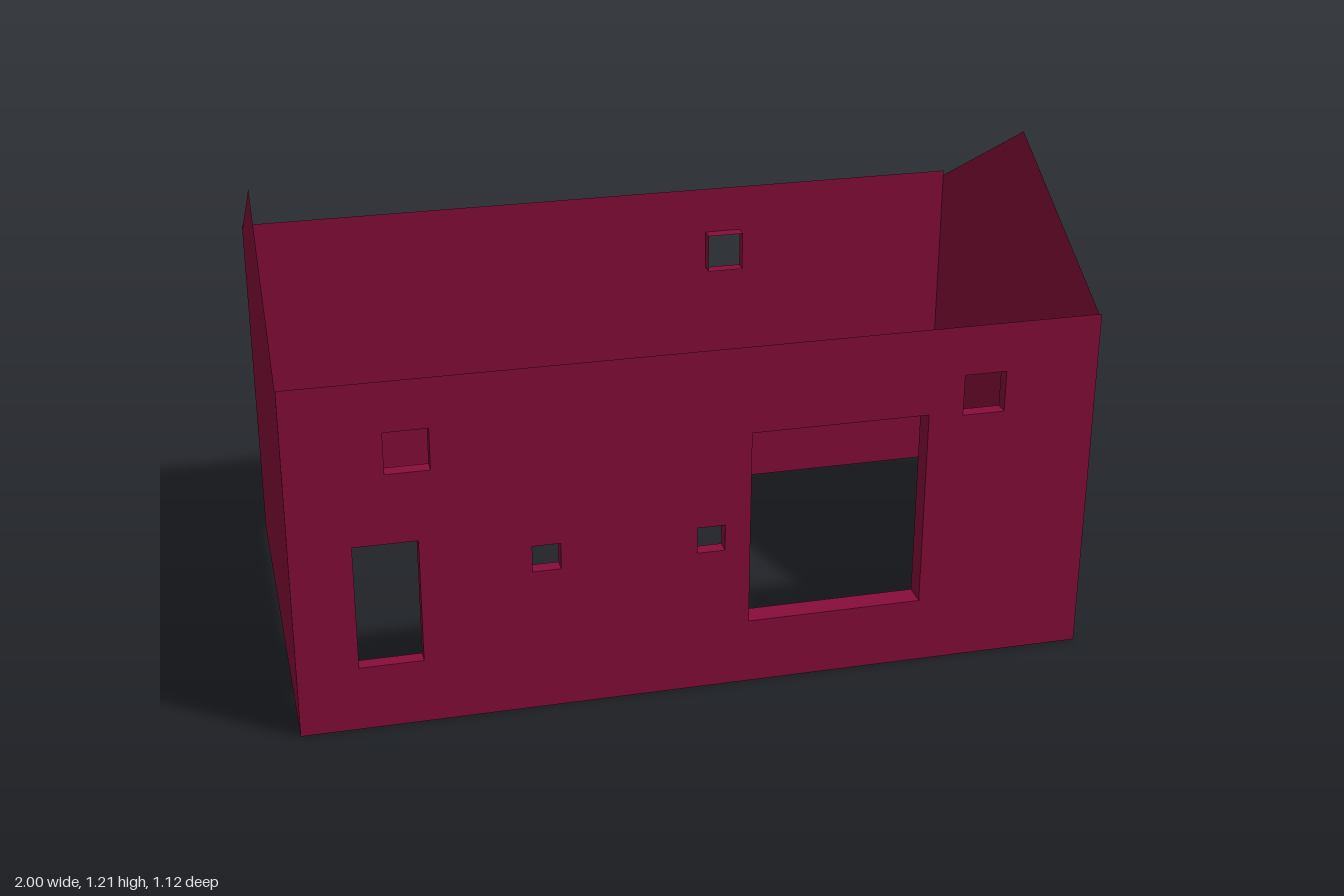
import * as THREE from 'three';

const HALF_W = 1, HALF_D = 0.558;
const WALL_H = 0.916, EAVE_H = 0.902, RIDGE_H = 1.207;

// Openings: [name, x0, x1, y0, y1, reveal depth]
const FRONT = [
  ['upperWindowRight', -0.765, -0.657, 0.68, 0.787, 0.036],
  ['upperWindowLeft', 0.655, 0.762, 0.68, 0.787, 0.036],
  ['door', -0.85, -0.693, 0.171, 0.498, 0.036],
  ['smallWindowRight', -0.422, -0.352, 0.38, 0.449, 0.036],
  ['smallWindowLeft', -0.014, 0.056, 0.38, 0.449, 0.036],
  ['largeOpening', 0.12, 0.567, 0.172, 0.69, 0.06],
];
const BACK = [['backWindow', 0.293, 0.393, 0.68, 0.787, 0.036]];

const corners = (x0, x1, y0, y1) =>
  [[x0, y0], [x1, y0], [x1, y1], [x0, y1]].map(([x, y]) => new THREE.Vector2(x, y));

export function createModel() {
  const model = new THREE.Group();
  model.name = 'house';
  const crimson = new THREE.MeshStandardMaterial({ color: 0x880d3a, side: THREE.DoubleSide });
  crimson.name = 'crimson';

  const add = (parent, name, geometry) => {
    const mesh = new THREE.Mesh(geometry, crimson);
    mesh.name = name;
    parent.add(mesh);
    return mesh;
  };

  // Four thin faces lining an opening, running inward from the wall
  function addReveal(parent, [name, x0, x1, y0, y1, depth], z, inward) {
    const reveal = new THREE.Group();
    reveal.name = name + 'Reveal';
    const w = x1 - x0, h = y1 - y0, cx = (x0 + x1) / 2, cy = (y0 + y1) / 2;
    const cz = z + inward * depth / 2;
    for (const s of [-1, 1]) {
      const jamb = add(reveal, s < 0 ? 'rightJamb' : 'leftJamb', new THREE.PlaneGeometry(depth, h));
      jamb.rotation.y = -s * Math.PI / 2;
      jamb.position.set(cx + s * w / 2, cy, cz);
      const sill = add(reveal, s < 0 ? 'sill' : 'lintel', new THREE.PlaneGeometry(w, depth));
      sill.rotation.x = s * Math.PI / 2;
      sill.position.set(cx, cy + s * h / 2, cz);
    }
    parent.add(reveal);
  }

  // Long wall sheet with its openings
  function addLongWall(name, side, openings) {
    const wall = new THREE.Group();
    wall.name = name;
    const shape = new THREE.Shape(corners(-HALF_W, HALF_W, 0, WALL_H));
    for (const [, x0, x1, y0, y1] of openings) {
      shape.holes.push(new THREE.Path(corners(x0, x1, y0, y1).reverse()));
    }
    add(wall, name + 'Sheet', new THREE.ShapeGeometry(shape)).position.z = side * HALF_D;
    openings.forEach((o) => addReveal(wall, o, side * HALF_D, -side));
    model.add(wall);
  }
  addLongWall('frontWall', 1, FRONT);
  addLongWall('backWall', -1, BACK);

  // Gable end walls
  const gable = new THREE.Shape([
    [-HALF_D, 0], [HALF_D, 0], [HALF_D, EAVE_H], [0, RIDGE_H], [-HALF_D, EAVE_H],
  ].map(([x, y]) => new THREE.Vector2(x, y)));
  for (const side of [-1, 1]) {
    const wall = add(model, side < 0 ? 'rightGable' : 'leftGable', new THREE.ShapeGeometry(gable));
    wall.rotation.y = side * Math.PI / 2;
    wall.position.x = side * HALF_W;
  }
  return model;
}
